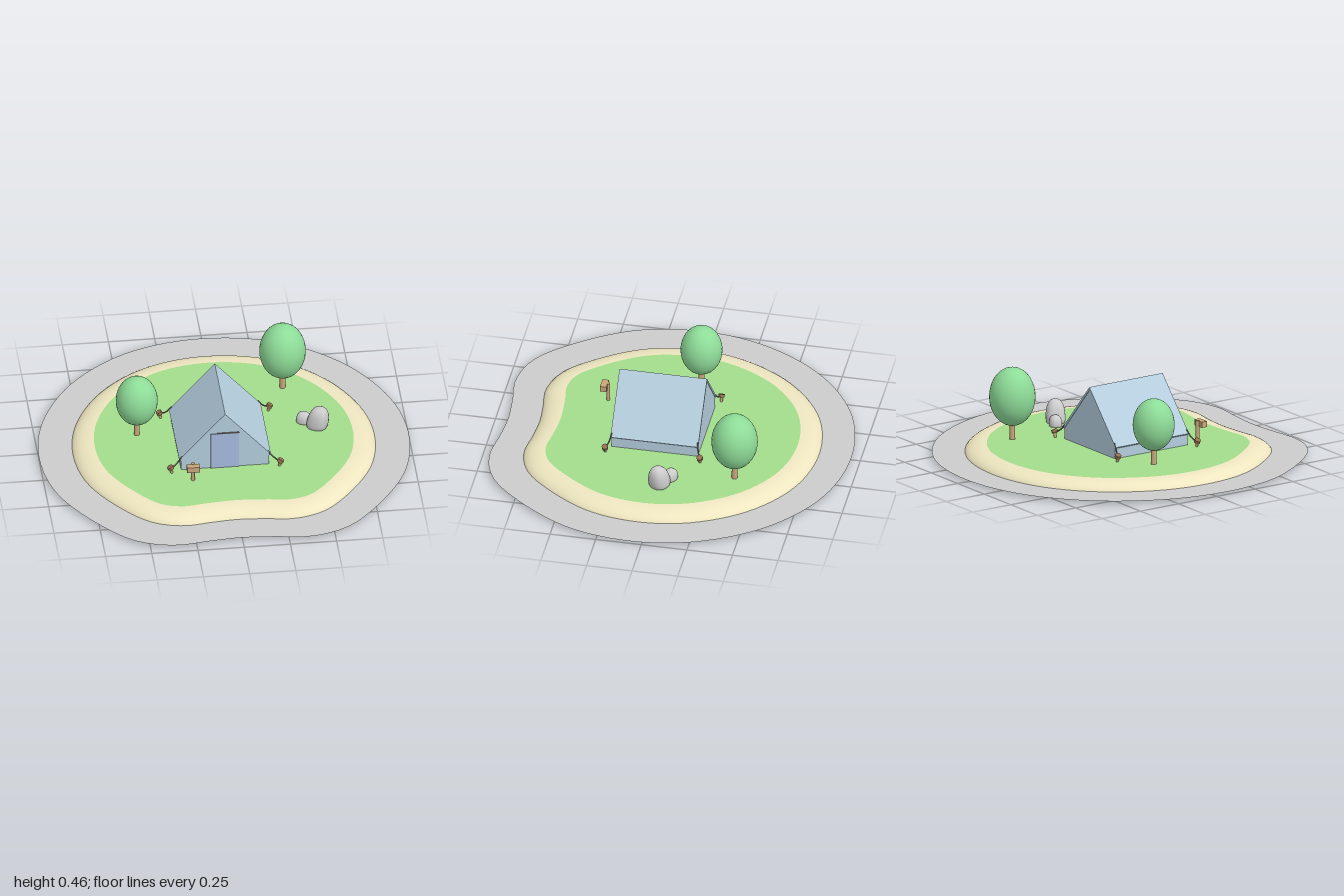
import * as THREE from 'three';

const mat = (color, extra = {}) => new THREE.MeshStandardMaterial({ color, ...extra });
const GROUND = 0.06;
const SEGMENTS = 96;

export function createModel() {
  const model = new THREE.Group();
  const grey = mat(0xcccccc, { side: THREE.DoubleSide });
  const sand = mat(0xeee6c0, { side: THREE.DoubleSide });
  const grass = mat(0xa3dc8c);
  const leaf = mat(0x8edc98);
  const wood = mat(0xc9a67a);
  const darkWood = mat(0x93714f);
  const canvas = mat(0xb4cddd, { side: THREE.DoubleSide });
  const doorCloth = mat(0xa6bbdf);
  const cord = mat(0x77756c);
  const stone = mat(0xbdbdbd);

  function add(name, geometry, material, x = 0, y = 0, z = 0, parent = model) {
    const mesh = new THREE.Mesh(geometry, material);
    mesh.name = name;
    mesh.position.set(x, y, z);
    parent.add(mesh);
    return mesh;
  }

  // Bean-shaped shoreline, mirrored from one half
  const half = [[0, -0.78], [0.33, -0.713], [0.6, -0.515], [0.77, -0.23], [0.82, 0.05],
    [0.77, 0.34], [0.6, 0.61], [0.46, 0.74], [0.3, 0.788], [0.14, 0.772], [0, 0.762]];
  const loop = [...half, ...half.slice(1, -1).reverse().map(([x, z]) => [-x, z])];
  const shore = new THREE.CatmullRomCurve3(loop.map(([x, z]) => new THREE.Vector3(x, 0, z)), true);

  // Shoreline moved inwards by a distance
  function outline(inset) {
    return Array.from({ length: SEGMENTS }, (_, i) => {
      const p = shore.getPointAt(i / SEGMENTS), t = shore.getTangentAt(i / SEGMENTS);
      return new THREE.Vector3(p.x - t.z * inset, 0, p.z + t.x * inset);
    });
  }
  function flat(points, scale = 1) {
    const shape = new THREE.Shape(points.map(p => new THREE.Vector2(p.x * scale, -p.z * scale)));
    return new THREE.ShapeGeometry(shape).rotateX(-Math.PI / 2);
  }

  // Flat surround and grass
  add('waterSurround', flat(outline(0), 1.22), grey, 0, 0.015, 0);
  add('grass', flat(outline(0.122)), grass, 0, GROUND, 0);

  // Rounded beach, built ring by ring
  const RINGS = 10, positions = [], index = [];
  for (let r = 0; r <= RINGS; r++) {
    const a = (r / RINGS) * Math.PI / 2;
    for (const p of outline(0.125 * (1 - Math.cos(a)))) positions.push(p.x, GROUND * Math.sin(a), p.z);
  }
  for (let r = 0; r < RINGS; r++) {
    for (let i = 0; i < SEGMENTS; i++) {
      const j = (i + 1) % SEGMENTS;
      const a = r * SEGMENTS + i, b = r * SEGMENTS + j, c = a + SEGMENTS, d = b + SEGMENTS;
      index.push(a, c, b, b, c, d);
    }
  }
  const beach = new THREE.BufferGeometry();
  beach.setAttribute('position', new THREE.Float32BufferAttribute(positions, 3));
  beach.setIndex(index);
  beach.computeVertexNormals();
  add('beach', beach, sand);

  // Tent
  const tent = new THREE.Group();
  tent.name = 'tent';
  tent.position.set(-0.024, 0, 0.085);
  model.add(tent);
  const extrude = (pts, depth) => new THREE.ExtrudeGeometry(
    new THREE.Shape(pts.map(p => new THREE.Vector2(...p))), { depth, bevelEnabled: false }
  ).translate(0, 0, -depth / 2);
  add('tentBody', extrude([[-0.238, GROUND], [0.238, GROUND], [0.238, 0.122], [0, 0.393], [-0.238, 0.122]], 0.474),
    canvas, 0, 0, 0, tent);
  for (const s of [-1, 1]) {
    add('roofPanel', extrude([[0, 0.405], [s * 0.248, 0.125], [s * 0.238, 0.117], [0, 0.389]], 0.48),
      canvas, 0, 0, 0, tent);
  }
  add('doorFlap', new THREE.BoxGeometry(0.152, 0.22, 0.006), doorCloth, 0, 0.17, 0.239, tent);
  add('doorPole', new THREE.BoxGeometry(0.006, 0.22, 0.008), cord, -0.077, 0.17, 0.241, tent);
  add('doorRail', new THREE.BoxGeometry(0.12, 0.005, 0.008), cord, 0.016, 0.281, 0.24, tent);

  // Guy ropes and pegs at the four corners
  for (const sx of [-1, 1]) {
    for (const sz of [-1, 1]) {
      const peg = new THREE.Vector3(sx * 0.298, 0.085, sz * 0.26);
      const rope = new THREE.CatmullRomCurve3([
        new THREE.Vector3(sx * 0.232, 0.145, sz * 0.236),
        new THREE.Vector3(sx * 0.262, 0.108, sz * 0.244), peg]);
      add('guyRope', new THREE.TubeGeometry(rope, 8, 0.004, 6), cord, 0, 0, 0, tent);
      const stake = add('peg', new THREE.CylinderGeometry(0.009, 0.007, 0.045, 10), wood,
        peg.x - sx * 0.003, 0.075, peg.z, tent);
      stake.rotation.z = -sx * 0.25;
      const knob = add('pegHead', new THREE.CylinderGeometry(0.017, 0.017, 0.018, 12), darkWood,
        peg.x, 0.092, peg.z, tent);
      knob.rotation.z = -sx * 0.5;
    }
  }

  // Signpost
  add('signPost', new THREE.CylinderGeometry(0.01, 0.01, 0.108, 12), wood, -0.21, 0.114, 0.424);
  add('signBoard', new THREE.BoxGeometry(0.07, 0.032, 0.035), wood, -0.21, 0.149, 0.445);

  // Trees: x, z, crown radius, crown top
  for (const [x, z, r, top] of [[-0.46, -0.037, 0.113, 0.423], [0.37, -0.385, 0.125, 0.46]]) {
    const h = (top - 0.137) / 2;
    add('treeTrunk', new THREE.CylinderGeometry(0.014, 0.016, 0.15, 16), wood, x, GROUND + 0.075, z);
    add('treeCrown', new THREE.SphereGeometry(1, 32, 20).scale(r, h, r), leaf, x, top - h, z);
  }

  // Boulders: spheres made blocky, leaning, and flat underneath
  function boulder(name, x, z, rx, h, rz, lean, turn) {
    const g = new THREE.SphereGeometry(1, 24, 16), p = g.attributes.position;
    for (let i = 0; i < p.count; i++) {
      const [a, b, c] = [p.getX(i), p.getY(i), p.getZ(i)];
      const k = 1 / Math.pow(Math.abs(a) ** 2.6 + Math.abs(b) ** 2.6 + Math.abs(c) ** 2.6, 1 / 2.6);
      const y = Math.max(-0.6, b * k);
      const w = k * (1 - 0.14 * y);
      p.setXYZ(i, (a * w + lean * y) * rx, ((y + 0.6) / 1.6) * h, c * w * rz);
    }
    g.computeVertexNormals();
    add(name, g, stone, x, GROUND, z).rotation.y = turn;
  }
  boulder('largeBoulder', 0.517, 0.0, 0.056, 0.122, 0.052, 0.2, -0.5);
  boulder('smallBoulder', 0.445, -0.05, 0.04, 0.06, 0.034, 0, -0.4);

  return model;
}
